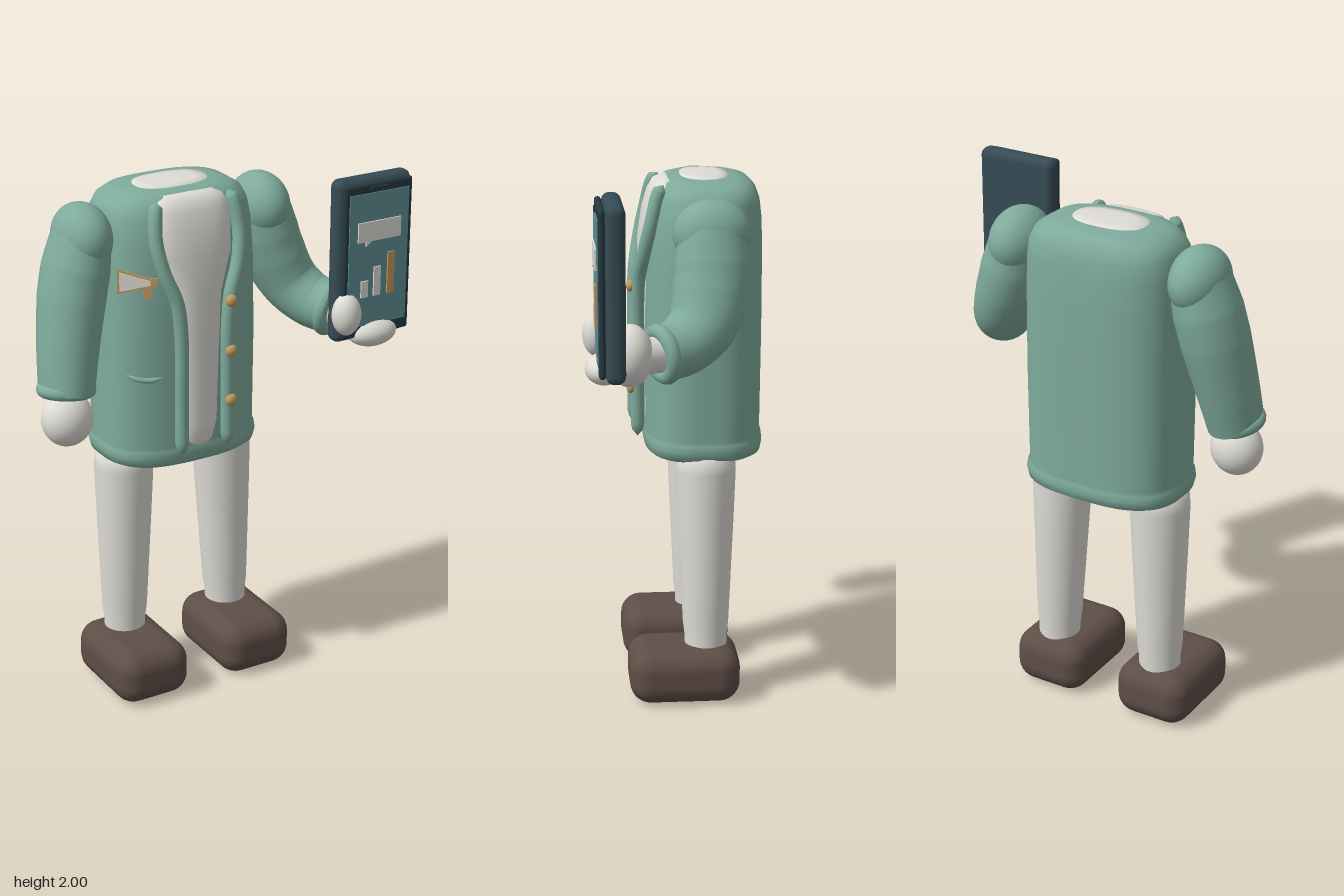
import * as THREE from 'three';
import { RoundedBoxGeometry } from 'three/addons/geometries/RoundedBoxGeometry.js';
import { mergeVertices } from 'three/addons/utils/BufferGeometryUtils.js';

const paint = (name, color) => Object.assign(new THREE.MeshStandardMaterial({ color }), { name });
const CX = -0.105; // centre line of the body

// Closed surface through horizontal superellipses: [y, cx, rx, zFront, zBack]
function loft(sections, power = 2, n = 64) {
  const pos = [], index = [];
  sections.forEach(([y, cx, rx, zf, zb], i) => {
    for (let j = 0; j < n; j++) {
      const t = (j / n) * Math.PI * 2, c = Math.cos(t), s = Math.sin(t);
      pos.push(cx + rx * Math.sign(c) * Math.abs(c) ** (2 / power), y,
        (zf + zb) / 2 + ((zf - zb) / 2) * Math.sign(s) * Math.abs(s) ** (2 / power));
      if (i < sections.length - 1) {
        const a = i * n + j, b = i * n + (j + 1) % n;
        index.push(a, a + n, b, b, a + n, b + n);
      }
    }
  });
  const g = new THREE.BufferGeometry();
  g.setAttribute('position', new THREE.Float32BufferAttribute(pos, 3));
  g.setIndex(index);
  g.computeVertexNormals();
  return g;
}

// Tube whose radius follows a list of values along its path
function sweep(points, radii, depth = 1, steps = 48, sides = 32) {
  const curve = new THREE.CatmullRomCurve3(points.map(p => new THREE.Vector3(...p)));
  const g = new THREE.TubeGeometry(curve, steps, 1, sides);
  const p = g.attributes.position, v = new THREE.Vector3();
  for (let i = 0; i <= steps; i++) {
    const c = curve.getPointAt(i / steps), f = (i / steps) * (radii.length - 1);
    const k = Math.min(Math.floor(f), radii.length - 2);
    const r = THREE.MathUtils.lerp(radii[k], radii[k + 1], f - k);
    for (let j = 0; j <= sides; j++) {
      const id = i * (sides + 1) + j;
      v.fromBufferAttribute(p, id).sub(c).multiplyScalar(r);
      p.setXYZ(id, c.x + v.x, c.y + v.y, c.z + v.z * depth);
    }
  }
  g.deleteAttribute('uv');
  g.deleteAttribute('normal');
  const m = mergeVertices(g, 1e-5);
  m.computeVertexNormals();
  return m;
}

function flat(points, depth) {
  return new THREE.ExtrudeGeometry(new THREE.Shape(points.map(p => new THREE.Vector2(...p))), { depth, bevelEnabled: false });
}

export function createModel() {
  const model = new THREE.Group();
  model.name = 'figure';
  const green = paint('jacketGreen', 0x7eaa9c), pale = paint('paleCloth', 0xdedcd5);
  const brown = paint('shoeBrown', 0x5f4e48), slate = paint('tabletSlate', 0x364b55);
  const dark = paint('bezelDark', 0x263840), teal = paint('screenTeal', 0x5f8f95);
  const gold = paint('gold', 0xc29a5c);

  const add = (name, geometry, material, x = 0, y = 0, z = 0, parent = model) => {
    const m = new THREE.Mesh(geometry, material);
    m.name = name;
    m.position.set(x, y, z);
    parent.add(m);
    return m;
  };
  const ball = (name, material, x, y, z, rx, ry, rz) =>
    add(name, new THREE.SphereGeometry(1, 32, 20), material, x, y, z).scale.set(rx, ry, rz);
  const box = (name, w, h, d, material, x, y, z) => add(name, new THREE.BoxGeometry(w, h, d), material, x, y, z);

  // Jacket body with a rolled hem and domed shoulders
  add('jacketBody', loft([
    [0.955, 0.001, -0.122, -0.124], [0.95, 0.26, 0.06, -0.305], [0.942, 0.285, 0.08, -0.325],
    [0.955, 0.309, 0.094, -0.345], [0.985, 0.316, 0.1, -0.35], [1.01, 0.312, 0.098, -0.347],
    [1.022, 0.305, 0.093, -0.341], [1.4, 0.308, 0.097, -0.345], [1.7, 0.305, 0.09, -0.345],
    [1.83, 0.3, 0.075, -0.342], [1.9, 0.29, 0.058, -0.334], [1.94, 0.268, 0.043, -0.32],
    [1.965, 0.23, 0.022, -0.295], [1.977, 0.18, -0.01, -0.255], [1.981, 0.1, -0.06, -0.19],
    [1.981, 0.001, -0.122, -0.124],
  ].map(([y, ...r]) => [y, CX, ...r]), 2.8, 80), green);
  add('neckPatch', loft([[1.965, CX, 0.145, -0.04, -0.22], [1.983, CX, 0.143, -0.042, -0.218],
    [1.987, CX, 0.1, -0.07, -0.19], [1.988, CX, 0.001, -0.13, -0.131]], 2.5), pale);
  add('undersidePatch', loft([[0.943, CX, 0.001, -0.08, -0.082], [0.945, CX, 0.17, 0.035, -0.2],
    [0.96, CX, 0.18, 0.04, -0.21]], 2.5), pale);

  // Shirt panel in the jacket opening
  add('shirtFront', loft([[0.995, 0.001, 0.05, 0.04], [1.0, 0.035, 0.09, 0], [1.03, 0.068, 0.108, -0.05],
    [1.1, 0.085, 0.116, -0.05], [1.6, 0.105, 0.118, -0.05], [1.75, 0.15, 0.115, -0.05], [1.85, 0.155, 0.1, -0.05],
    [1.92, 0.15, 0.08, -0.05], [1.955, 0.135, 0.06, -0.05], [1.97, 0.1, 0.035, -0.05], [1.972, 0.001, -0.01, -0.011],
  ].map(([y, ...r]) => [y, CX, ...r]), 2.6), pale);

  // Rolled front edges, mirrored about the body centre
  for (const s of [-1, 1]) {
    const path = [[0.15, 1.962, 0.03], [0.16, 1.93, 0.05], [0.172, 1.83, 0.075], [0.155, 1.72, 0.1],
      [0.112, 1.6, 0.12], [0.098, 1.48, 0.124], [0.097, 1.25, 0.124], [0.097, 1.0, 0.124]];
    add(s < 0 ? 'rightFrontEdge' : 'leftFrontEdge', sweep(path.map(([x, y, z]) => [CX + s * x, y, z]),
      [0.001, ...Array(40).fill(0.026), 0.02, 0.001], 1, 84, 16), green);
  }
  for (const y of [1.58, 1.385, 1.19]) ball('button', gold, -0.006, y, 0.148, 0.023, 0.023, 0.018);
  add('pocketWelt', sweep([[-0.38, 1.322, 0.028], [-0.35, 1.31, 0.056], [-0.31, 1.305, 0.08], [-0.265, 1.312, 0.095]],
    [0.003, 0.01, 0.01, 0.01, 0.003], 1, 20, 10), green);

  // Small horn-shaped pin on the chest
  const pin = new THREE.Group();
  pin.name = 'chestPin';
  pin.position.set(-0.352, 1.69, 0.075);
  pin.rotation.y = -0.52;
  model.add(pin);
  add('pinBacking', flat([[-0.074, 0.05], [-0.062, 0.05], [0.045, 0.016], [0.072, 0.018], [0.072, -0.012],
    [0.045, -0.014], [-0.062, -0.038], [-0.074, -0.038]], 0.008), gold, 0, 0, 0, pin);
  add('pinFace', flat([[-0.066, 0.043], [0.045, 0.009], [0.045, -0.007], [-0.066, -0.03]], 0.004), pale, 0, 0, 0.008, pin);
  add('pinHandle', flat([[0.014, -0.01], [0.05, -0.01], [0.046, -0.06], [0.022, -0.06]], 0.008), gold, 0, 0, 0, pin);

  // Legs and shoes
  for (const [side, top, foot, shoe] of [['right', -0.315, -0.325, -0.333], ['left', 0.108, 0.133, 0.125]]) {
    add(side + 'Leg', loft([[0.15, 0.08], [0.24, 0.08], [0.3, 0.087], [0.5, 0.096], [0.7, 0.105], [0.9, 0.113],
      [0.94, 0.11], [0.97, 0.09], [0.99, 0.055], [1.0, 0.001]].map(([y, r]) => {
      const x = THREE.MathUtils.lerp(foot, top, (y - 0.15) / 0.85);
      return [y, x, r, -0.124 + r, -0.124 - r];
    })), pale);
    add(side + 'Shoe', new RoundedBoxGeometry(0.305, 0.215, 0.42, 4, 0.08), brown, shoe, 0.1075, -0.04);
  }

  // Sleeves and cuffs
  ball('rightShoulder', green, -0.468, 1.825, -0.128, 0.105, 0.125, 0.143);
  add('rightSleeve', sweep([[-0.468, 1.83, -0.128], [-0.515, 1.65, -0.115], [-0.556, 1.45, -0.085], [-0.585, 1.27, -0.052]],
    [0.108, 0.122, 0.122, 0.115, 0.108, 0.1], 1.15), green);
  ball('leftShoulder', green, 0.28, 1.825, -0.128, 0.105, 0.125, 0.143);
  add('leftSleeve', sweep([[0.28, 1.83, -0.128], [0.325, 1.66, -0.122], [0.385, 1.52, -0.085], [0.435, 1.455, -0.01], [0.48, 1.435, 0.075]],
    [0.108, 0.12, 0.12, 0.112, 0.105, 0.1], 1.15), green);
  const cuff = (name, x, y, z, dir) => add(name, new THREE.TorusGeometry(0.082, 0.028, 16, 40), green, x, y, z)
    .quaternion.setFromUnitVectors(new THREE.Vector3(0, 0, 1), new THREE.Vector3(...dir).normalize());
  cuff('rightCuff', -0.585, 1.283, -0.053, [-0.12, -1, 0.15]);
  cuff('leftCuff', 0.478, 1.435, 0.068, [0.45, -0.12, 0.87]);
  add('leftSleeveEnd', sweep([[0.47, 1.436, 0.06], [0.483, 1.434, 0.085]], [0.09, 0.085, 0.001], 1, 8), green);
  add('rightSleeveEnd', sweep([[-0.583, 1.29, -0.055], [-0.587, 1.262, -0.05]], [0.09, 0.085, 0.001], 1, 8), green);

  // Hands
  ball('rightHand', pale, -0.588, 1.17, -0.045, 0.098, 0.104, 0.09);
  add('leftWrist', sweep([[0.47, 1.435, 0.05], [0.527, 1.44, 0.16]], [0.065, 0.065], 1, 8), pale);
  ball('leftPalm', pale, 0.527, 1.445, 0.185, 0.098, 0.112, 0.085);
  ball('leftFingers', pale, 0.528, 1.4, 0.275, 0.1, 0.055, 0.068);
  ball('leftThumb', pale, 0.4, 1.495, 0.293, 0.056, 0.08, 0.053);

  // Tablet with screen graphics
  const TX = 0.527;
  add('tabletBody', new RoundedBoxGeometry(0.325, 0.625, 0.07, 5, 0.03), slate, TX, 1.6875, 0.24);
  add('tabletBezel', new RoundedBoxGeometry(0.295, 0.59, 0.024, 4, 0.011), dark, TX, 1.69, 0.287);
  box('screen', 0.258, 0.51, 0.008, teal, TX, 1.695, 0.299);
  box('speakerSlot', 0.08, 0.012, 0.008, dark, TX, 1.966, 0.303);
  add('speechBubble', flat([[0.434, 1.843], [0.62, 1.843], [0.62, 1.768], [0.492, 1.768], [0.468, 1.75], [0.47, 1.768], [0.434, 1.768]], 0.006), pale, 0, 0, 0.303);
  [[0.467, 1.617, pale], [0.522, 1.665, pale], [0.582, 1.713, gold]].forEach(([x, top, mat]) =>
    box('chartBar', 0.03, top - 1.553, 0.006, mat, x, (top + 1.553) / 2, 0.306));
  return model;
}
